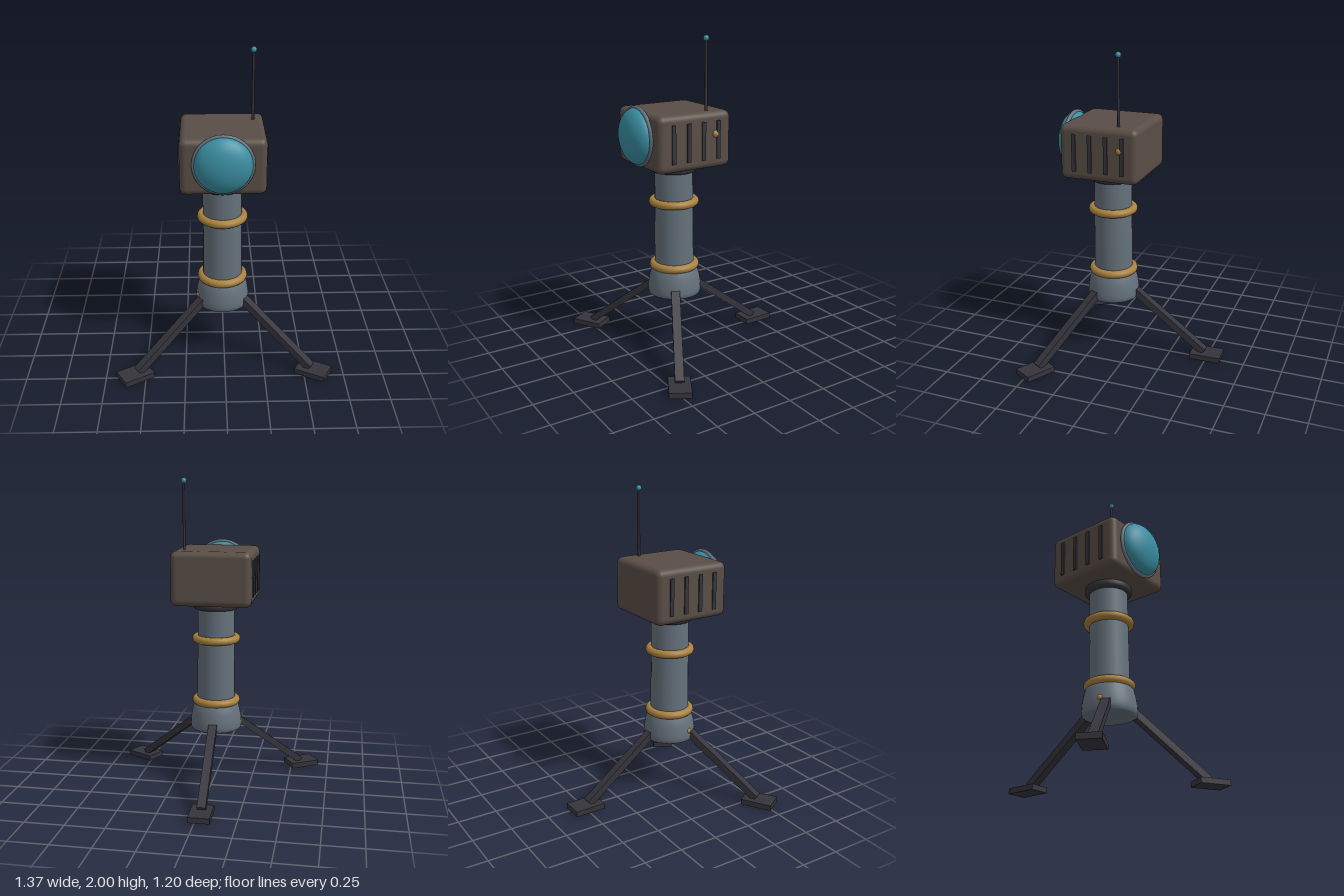
import * as THREE from 'three';
import { RoundedBoxGeometry } from 'three/addons/geometries/RoundedBoxGeometry.js';

const paint = (name, color) => {
  const m = new THREE.MeshStandardMaterial({ color });
  m.name = name;
  return m;
};

export function createModel() {
  const casing = paint('brown casing', 0x5a4e46);
  const steel = paint('blue grey steel', 0x65717c);
  const dark = paint('dark metal', 0x36343c);
  const brass = paint('brass', 0xa9823f);
  const glass = paint('teal glass', 0x3a8fa3);

  const model = new THREE.Group();
  model.name = 'tripodSensor';
  // Everything is arranged around the column axis
  const sensor = new THREE.Group();
  sensor.name = 'sensor';
  sensor.position.set(-0.01, 0, 0.153);
  model.add(sensor);

  const add = (name, geometry, material, x = 0, y = 0, z = 0, parent = sensor) => {
    const mesh = new THREE.Mesh(geometry, material);
    mesh.name = name;
    mesh.position.set(x, y, z);
    parent.add(mesh);
    return mesh;
  };
  const lathe = (points) =>
    new THREE.LatheGeometry(points.map(([r, y]) => new THREE.Vector2(r, y)), 32);

  // Three legs with flat feet
  const legPart = { inner: [0.14, 0.412], outer: [0.63, 0.037] };
  for (let i = 0; i < 3; i++) {
    const leg = new THREE.Group();
    leg.name = 'leg' + (i + 1);
    leg.rotation.y = -THREE.MathUtils.degToRad(28.8 + 120 * i);
    sensor.add(leg);
    const [r0, y0] = legPart.inner;
    const [r1, y1] = legPart.outer;
    const strut = add('strut', new THREE.BoxGeometry(Math.hypot(r1 - r0, y1 - y0), 0.045, 0.055),
      dark, (r0 + r1) / 2, (y0 + y1) / 2, 0, leg);
    strut.rotation.z = Math.atan2(y1 - y0, r1 - r0);
    add('foot', new THREE.BoxGeometry(0.2, 0.035, 0.135), dark, 0.65, 0.0175, 0, leg);
  }

  // Hub, column and collar
  add('hub', lathe([[0, 0.358], [0.155, 0.358], [0.166, 0.364], [0.17, 0.39], [0.168, 0.425],
    [0.16, 0.475], [0.148, 0.52], [0.135, 0.538], [0, 0.538]]), steel);
  add('column', new THREE.CylinderGeometry(0.12, 0.125, 0.7, 24), steel, 0, 0.87, 0);
  add('collar', lathe([[0.11, 1.163], [0.138, 1.165], [0.147, 1.175], [0.149, 1.19],
    [0.147, 1.207], [0.138, 1.217], [0.11, 1.22]]), dark);
  for (const y of [0.55, 0.967]) {
    const ring = add('columnRing', new THREE.TorusGeometry(0.132, 0.026, 12, 40), brass, 0, y, 0);
    ring.rotation.x = Math.PI / 2;
  }
  add('hubStud', new THREE.SphereGeometry(0.02, 16, 10), brass, -0.148, 0.428, 0.05);

  // Head with side vents
  add('head', new RoundedBoxGeometry(0.51, 0.345, 0.506, 4, 0.04), casing, 0, 1.3825, -0.003);
  for (const side of [1, -1]) {
    for (let i = 0; i < 4; i++) {
      add('vent', new THREE.BoxGeometry(0.02, 0.233, 0.025), dark,
        side * 0.253, 1.384, 0.152 - i * 0.104);
    }
  }
  add('sideButton', new THREE.SphereGeometry(0.025, 16, 12), brass, 0.243, 1.42, -0.142);

  // Bulging lens and its rim
  const lens = add('lens', new THREE.SphereGeometry(0.172, 40, 28), glass, 0, 1.405, 0.255);
  lens.scale.z = 0.53;
  add('lensRim', new THREE.TorusGeometry(0.172, 0.013, 12, 48), steel, 0, 1.405, 0.253);

  // Antenna
  add('antenna', new THREE.CylinderGeometry(0.007, 0.009, 0.45, 12), dark, 0.187, 1.755, -0.116);
  add('antennaTip', new THREE.SphereGeometry(0.018, 16, 12), glass, 0.187, 1.982, -0.116);

  return model;
}
